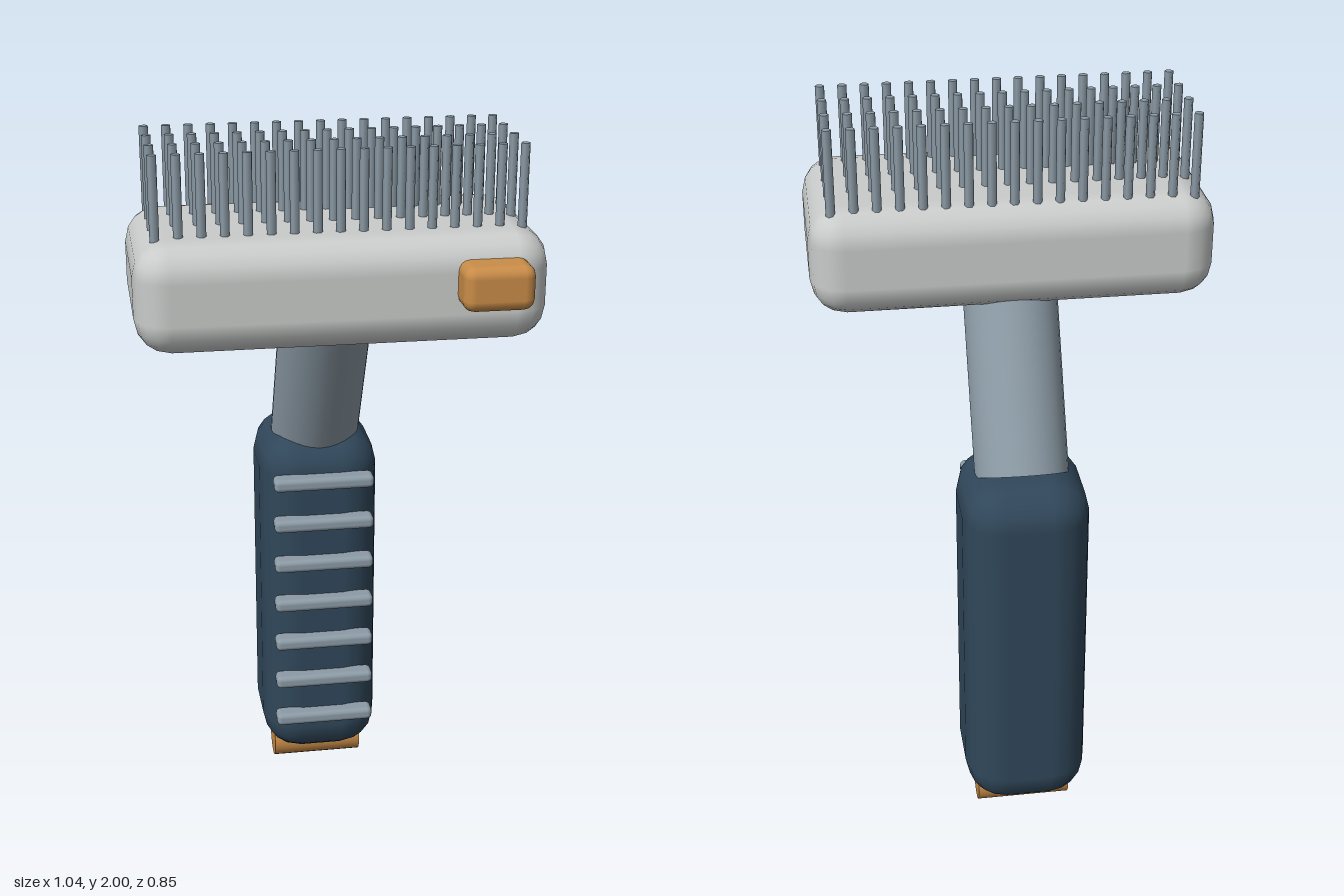
import * as THREE from 'three';
import { RoundedBoxGeometry } from 'three/addons/geometries/RoundedBoxGeometry.js';

const material = (name, color) => {
  const m = new THREE.MeshStandardMaterial({ color });
  m.name = name;
  return m;
};

export function createModel() {
  const shell = material('pale grey shell', 0xc9ccca);
  const grip = material('dark blue grip', 0x30475a);
  const steel = material('blue grey steel', 0x8c9ba6);
  const copper = material('copper accent', 0xc98c48);

  const model = new THREE.Group();
  model.name = 'groomingBrush';

  const add = (name, geometry, mat, x, y, z, parent = model) => {
    const mesh = new THREE.Mesh(geometry, mat);
    mesh.name = name;
    mesh.position.set(x, y, z);
    parent.add(mesh);
    return mesh;
  };

  // Head and its release button
  add('head', new RoundedBoxGeometry(1.045, 0.285, 0.518, 2, 0.09), shell, 0, 1.652, 0.092);
  add('releaseButton', new RoundedBoxGeometry(0.182, 0.116, 0.116, 2, 0.03), copper, 0.367, 1.68, 0.37);

  // Grid of hexagonal pins
  const pins = new THREE.Group();
  pins.name = 'pins';
  model.add(pins);
  const pinGeometry = new THREE.CylinderGeometry(0.012, 0.012, 0.24, 6).rotateY(Math.PI / 6);
  for (let row = 0; row < 4; row++) {
    for (let col = 0; col < 17; col++) {
      add('pin', pinGeometry, steel, (col - 8) * 0.0577, 1.88, -0.106 + row * 0.115, pins);
    }
  }

  // Slanted neck between grip and head
  const bottom = new THREE.Vector3(0, 1.076, -0.239);
  const top = new THREE.Vector3(0, 1.549, 0.01);
  const mid = bottom.clone().add(top).multiplyScalar(0.5);
  const neck = add('neck', new THREE.CylinderGeometry(0.125, 0.125, bottom.distanceTo(top), 32), steel, 0, mid.y, mid.z);
  neck.rotation.x = Math.atan2(top.z - bottom.z, top.y - bottom.y);

  // Handle with finger ribs on its front
  add('handle', new RoundedBoxGeometry(0.338, 1.03, 0.362, 2, 0.11), grip, 0, 0.597, -0.245);
  const ribs = new THREE.Group();
  ribs.name = 'gripRibs';
  model.add(ribs);
  const ribGeometry = new RoundedBoxGeometry(0.284, 0.038, 0.056, 2, 0.014);
  for (let i = 0; i < 7; i++) {
    add('gripRib', ribGeometry, steel, 0, 0.24 + i * 0.1258, -0.054, ribs);
  }

  // Cross bar at the handle's foot
  const bar = new THREE.CylinderGeometry(0.06, 0.06, 0.262, 24).rotateZ(Math.PI / 2);
  add('endBar', bar, copper, 0, 0.06, -0.245);

  return model;
}
